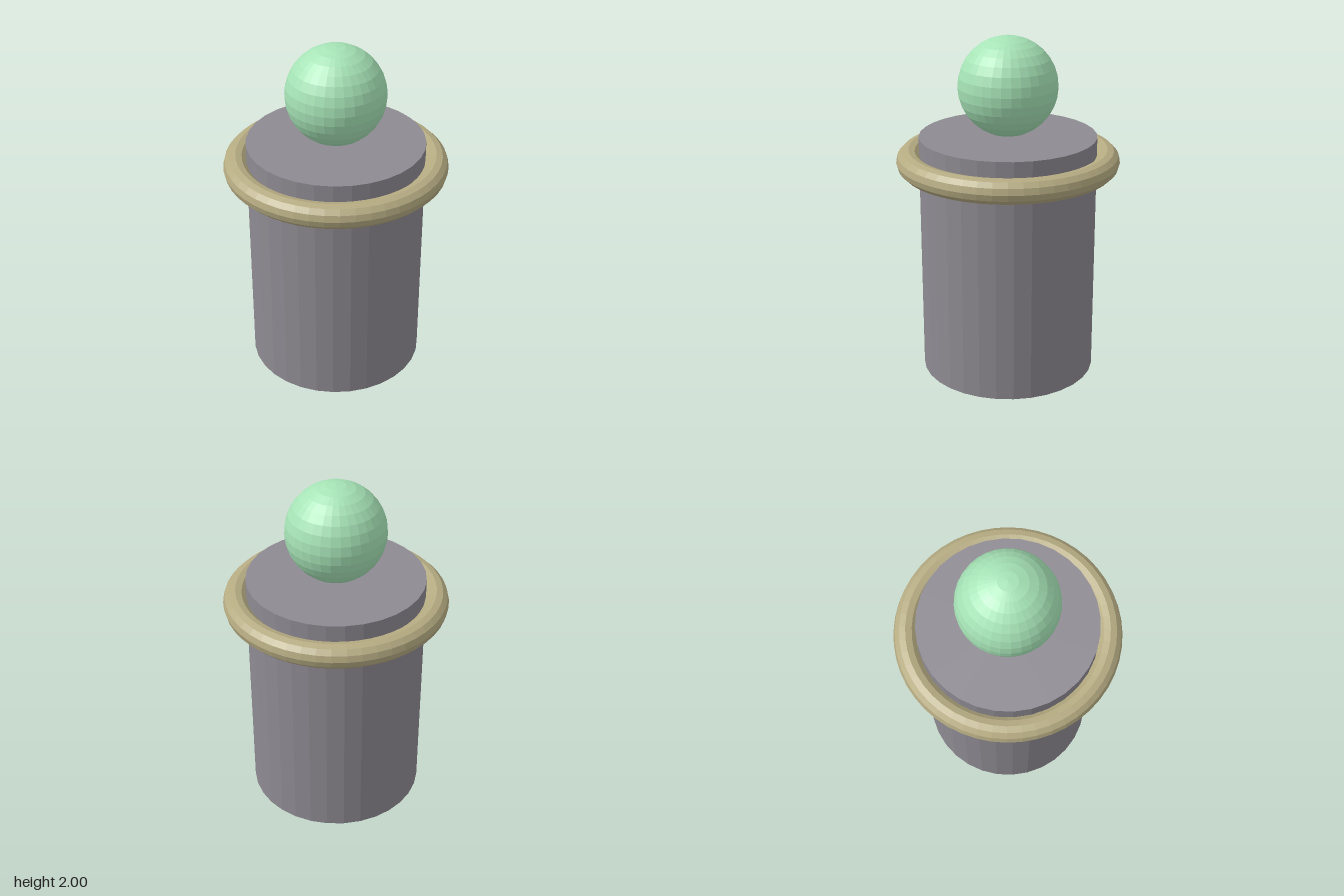
import * as THREE from 'three';

export function createModel() {
  const model = new THREE.Group();
  model.name = 'pedestalWithBall';

  const paint = (name, color) => {
    const material = new THREE.MeshStandardMaterial({ color, flatShading: true });
    material.name = name;
    return material;
  };
  const grey = paint('stone grey', 0x8e8a92);
  const tan = paint('khaki tan', 0xb5ab82);
  const green = paint('mint green', 0xa6e3b6);

  const add = (name, geometry, material, y) => {
    const mesh = new THREE.Mesh(geometry, material);
    mesh.name = name;
    mesh.position.y = y;
    model.add(mesh);
  };

  // Solid drum standing on the ground
  const drumHeight = 1.4286;
  add('drum', new THREE.CylinderGeometry(0.511, 0.511, drumHeight, 32), grey, drumHeight / 2);

  // Ring hugging the drum just below its top
  add('ring', new THREE.TorusGeometry(0.5714, 0.0714, 12, 48).rotateX(Math.PI / 2), tan, 1.2857);

  // Ball resting on the drum
  const ballRadius = 0.2857;
  add('ball', new THREE.SphereGeometry(ballRadius, 32, 16), green, drumHeight + ballRadius);

  return model;
}
